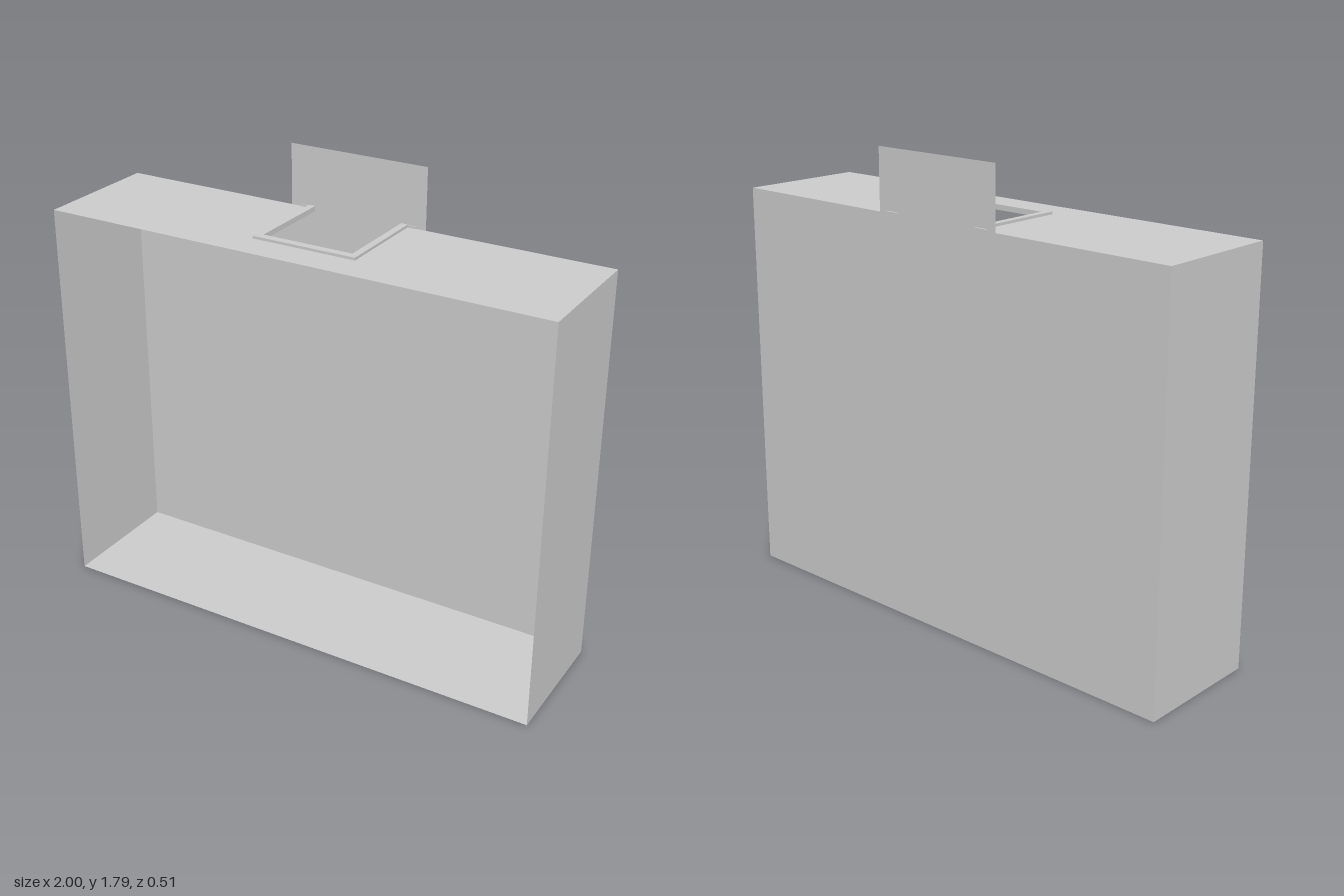
import * as THREE from 'three';

const W = 1, H = 1.56, BACK = -0.25, FRONT = 0.257;

export function createModel() {
  const model = new THREE.Group();
  const mat = new THREE.MeshStandardMaterial({ color: 0xcccccc, side: THREE.DoubleSide, flatShading: true });

  const add = (name, geometry, x = 0, y = 0, z = 0) => {
    const mesh = new THREE.Mesh(geometry, mat);
    mesh.name = name;
    mesh.position.set(x, y, z);
    model.add(mesh);
    return mesh;
  };
  const outline = (pts) => new THREE.Shape(pts.map(([x, y]) => new THREE.Vector2(x, y)));

  // Back sheet with the hanging tab rising from its top edge
  add('backPanel', new THREE.ShapeGeometry(outline([
    [-W, 0], [W, 0], [W, H], [0.28, H], [0.28, 1.795], [-0.28, 1.795], [-0.28, H], [-W, H],
  ])), 0, 0, BACK);

  // Thin side walls and floor, front left open
  const depth = FRONT - BACK, midZ = (FRONT + BACK) / 2;
  for (const s of [-1, 1]) {
    add(s > 0 ? 'leftWall' : 'rightWall',
      new THREE.PlaneGeometry(depth, H).rotateY(s * Math.PI / 2), s * W, H / 2, midZ);
  }
  add('floor', new THREE.PlaneGeometry(2 * W, depth).rotateX(Math.PI / 2), 0, 0, midZ);

  // Top sheet with a rectangular opening running to the back edge (shape y is -z)
  add('topPanel', new THREE.ShapeGeometry(outline([
    [-W, -FRONT], [W, -FRONT], [W, -BACK], [0.18, -BACK], [0.18, -0.1],
    [-0.18, -0.1], [-0.18, -BACK], [-W, -BACK],
  ])).rotateX(-Math.PI / 2), 0, H, 0);

  // U-shaped rim around the opening
  add('openingRim', new THREE.ExtrudeGeometry(outline([
    [-0.207, -0.13], [0.207, -0.13], [0.207, -BACK], [0.18, -BACK], [0.18, -0.1],
    [-0.18, -0.1], [-0.18, -BACK], [-0.207, -BACK],
  ]), { depth: 0.02, bevelEnabled: false }).rotateX(-Math.PI / 2), 0, 1.55, 0);

  // Small rim ends poking through the back sheet
  for (const s of [-1, 1]) {
    add(s > 0 ? 'leftRimEnd' : 'rightRimEnd', new THREE.BoxGeometry(0.055, 0.016, 0.01), s * 0.215, 1.56, -0.252);
  }
  return model;
}
